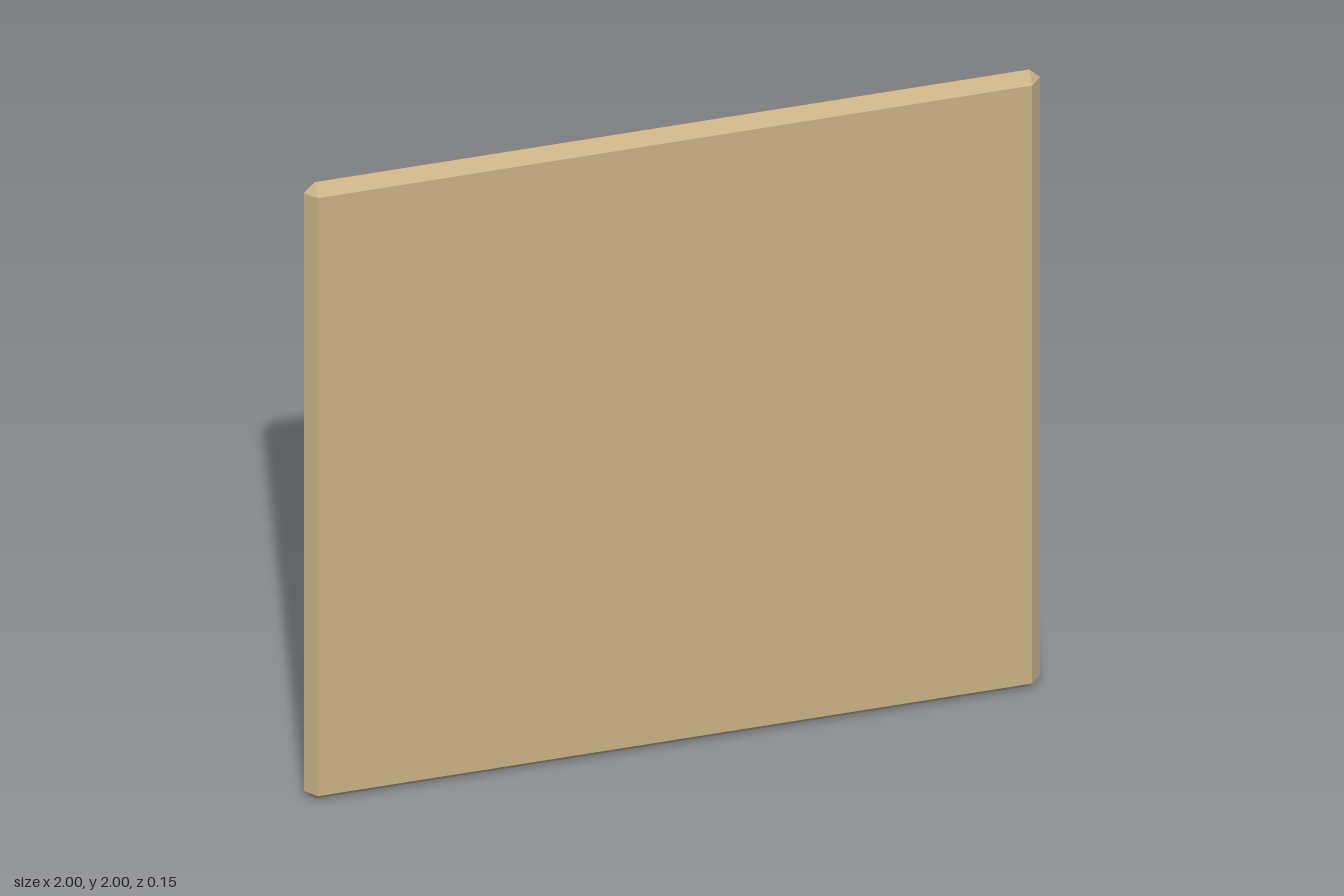
import * as THREE from 'three';
import { ConvexGeometry } from 'three/addons/geometries/ConvexGeometry.js';

// Square slab whose rim is bevelled to a ridge halfway through its thickness
function bevelledSlab(half, zBack, zFront, bevel) {
  const inner = half - bevel, mid = (zBack + zFront) / 2, points = [];
  for (const sx of [-1, 1]) for (const sy of [-1, 1]) {
    points.push(
      new THREE.Vector3(sx * inner, sy * inner, zBack),
      new THREE.Vector3(sx * inner, sy * inner, zFront),
      new THREE.Vector3(sx * half, sy * inner, mid),
      new THREE.Vector3(sx * inner, sy * half, mid)
    );
  }
  return new ConvexGeometry(points);
}

export function createModel() {
  const tan = new THREE.MeshStandardMaterial({ color: 0xc8b185 });
  tan.name = 'tan';
  const darkGrey = new THREE.MeshStandardMaterial({ color: 0x505053 });
  darkGrey.name = 'darkGrey';

  const model = new THREE.Group();
  model.name = 'panel';
  const add = (name, geometry, material, x = 0, y = 1, z = 0) => {
    const mesh = new THREE.Mesh(geometry, material);
    mesh.name = name;
    mesh.position.set(x, y, z);
    model.add(mesh);
    return mesh;
  };

  // Main panel and thinner backing plate
  add('frontPanel', bevelledSlab(1, 0.01, 0.073, 0.03), tan);
  add('backPlate', bevelledSlab(0.9, -0.012, 0.014, 0.012), tan);

  // Dark sheet behind the grille
  add('darkSheet', new THREE.BoxGeometry(1.46, 1.46, 0.012), darkGrey, 0, 1, -0.014);

  // Grille of crossing bars
  const upright = new THREE.BoxGeometry(0.06, 1.46, 0.061);
  const crossbar = new THREE.BoxGeometry(1.46, 0.06, 0.061);
  for (const i of [-1, 0, 1]) {
    add('verticalBar', upright, tan, i * 0.418, 1, -0.0425);
    add('horizontalBar', crossbar, tan, 0, 1 + i * 0.418, -0.0425);
  }

  // Hexagonal corner bolts, with points up and down
  const hex = new THREE.CylinderGeometry(0.037, 0.037, 0.034, 6).toNonIndexed();
  hex.rotateX(Math.PI / 2);
  hex.computeVertexNormals();
  for (const sx of [-1, 1]) for (const sy of [-1, 1]) {
    add('cornerBolt', hex, tan, sx * 0.895, 1 + sy * 0.897, -0.003);
  }

  return model;
}
